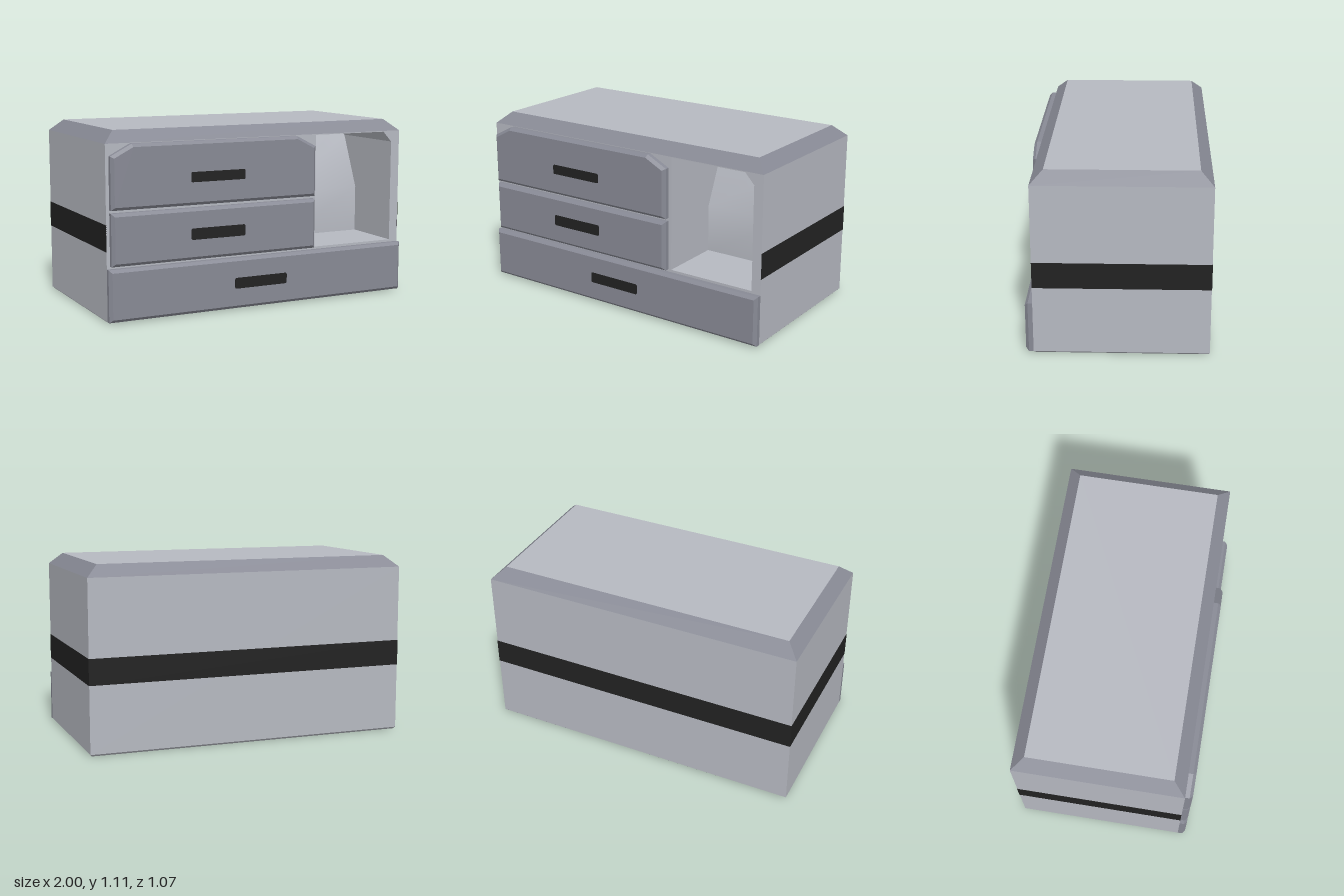
import * as THREE from 'three';

const BACK = -0.533, FRONT = 0.49, DRAWER_FRONT = 0.535, BEVEL = 0.018;

// Flat-shaded geometry from four-cornered faces
function quads(list) {
  const pos = [];
  for (const [a, b, c, d] of list) pos.push(...a, ...b, ...c, ...a, ...c, ...d);
  const g = new THREE.BufferGeometry();
  g.setAttribute('position', new THREE.Float32BufferAttribute(pos, 3));
  g.computeVertexNormals();
  return g;
}

// Rectangle of corners at height y: front left, front right, back right, back left
function ring(y, inset) {
  const x = 1 - inset, f = FRONT - inset, b = BACK + inset;
  return [[-x, y, f], [x, y, f], [x, y, b], [-x, y, b]];
}

// Side faces between two rings
function band(lo, hi, sides = [0, 1, 2, 3]) {
  return sides.map(i => {
    const j = (i + 1) % 4;
    return [lo[i], lo[j], hi[j], hi[i]];
  });
}

const polygon = pts => new THREE.Shape(pts.map(p => new THREE.Vector2(...p)));
const rect = (x0, x1, y0, y1) => [[x0, y0], [x1, y0], [x1, y1], [x0, y1]];

function roundedRect(x0, x1, y0, y1, r) {
  const s = new THREE.Shape();
  s.absarc(x1 - r, y1 - r, r, 0, Math.PI / 2);
  s.absarc(x0 + r, y1 - r, r, Math.PI / 2, Math.PI);
  s.absarc(x0 + r, y0 + r, r, Math.PI, Math.PI * 1.5);
  s.absarc(x1 - r, y0 + r, r, Math.PI * 1.5, Math.PI * 2);
  return s;
}

export function createModel() {
  const root = new THREE.Group();
  root.name = 'drawerCabinet';
  const mat = (name, color) => {
    const m = new THREE.MeshStandardMaterial({ color });
    m.name = name;
    return m;
  };
  const lightGrey = mat('light grey', 0xb6b9c1);
  const slate = mat('slate grey', 0x888a95);
  const black = mat('black', 0x222222);
  const add = (name, geo, material, parent = root) => {
    const m = new THREE.Mesh(geo, material);
    m.name = name;
    parent.add(m);
    return m;
  };

  // Cabinet shell: small chamfer at the foot, walls, bevelled lid
  const foot = ring(0, 0.012), low = ring(0.012, 0), high = ring(1.04, 0), top = ring(1.11, 0.075);
  add('cabinetWalls', quads([
    [foot[3], foot[2], foot[1], foot[0]],
    ...band(foot, low),
    ...band(low, high, [1, 2, 3]),
  ]), lightGrey);
  add('lidBevel', quads(band(high, top)), slate);
  add('lidTop', quads([top]), lightGrey);

  // Open cubby outline, counter-clockwise, with points where the back starts to lean
  const kink = 0.63;
  const cubby = [[0.38, 0.335], [0.94, 0.335], [0.94, kink], [0.94, 0.97], [0.88, 1.035], [0.38, 1.035], [0.38, kink]];
  const deep = ([x, y]) => [x, y, 0.085 - Math.max(0, y - kink) * 0.43];
  const face = polygon(rect(-1, 1, 0.012, 1.04));
  face.holes.push(polygon(cubby));
  add('cabinetFront', new THREE.ShapeGeometry(face), lightGrey).position.z = FRONT;
  add('cubbyWalls', quads(cubby.map((a, i) => {
    const b = cubby[(i + 1) % cubby.length];
    return [[...a, FRONT], [...b, FRONT], deep(b), deep(a)];
  })), lightGrey);
  const back = new THREE.BufferGeometry();
  back.setAttribute('position', new THREE.Float32BufferAttribute(cubby.flatMap(deep), 3));
  back.setIndex([0, 1, 2, 0, 2, 6, 6, 2, 3, 6, 3, 4, 6, 4, 5]);
  back.computeVertexNormals();
  add('cubbyBack', back, lightGrey);

  // Dark stripe around the sides and back
  const t = 0.003, depth = FRONT - BACK;
  for (const s of [-1, 1]) {
    add(s > 0 ? 'leftStripe' : 'rightStripe', new THREE.BoxGeometry(t, 0.157, depth), black)
      .position.set(s, 0.497, (FRONT + BACK) / 2);
  }
  add('backStripe', new THREE.BoxGeometry(2 + t, 0.157, t), black).position.set(0, 0.497, BACK);

  // Drawers: bevelled front panel with a dark handle plate
  const drawers = [
    ['bottomDrawer', rect(-1, 1, 0.01, 0.32), [-0.2, 0.155, 0.134, 0.2]],
    ['middleDrawer', rect(-0.98, 0.36, 0.335, 0.643), [-0.487, -0.132, 0.456, 0.524]],
    ['topDrawer', [[-0.98, 0.66], [0.36, 0.66], [0.36, 0.97], [0.23, 1.037], [-0.85, 1.037], [-0.98, 0.97]],
      [-0.487, -0.132, 0.797, 0.857]],
  ];
  for (const [name, outline, handle] of drawers) {
    const g = new THREE.Group();
    g.name = name;
    root.add(g);
    add(name + 'Panel', new THREE.ExtrudeGeometry(polygon(outline), {
      depth: DRAWER_FRONT - FRONT - BEVEL, bevelEnabled: true, bevelSegments: 1,
      bevelThickness: BEVEL, bevelSize: BEVEL, bevelOffset: -BEVEL,
    }), slate, g).position.z = FRONT;
    add(name + 'Handle', new THREE.ExtrudeGeometry(roundedRect(...handle, 0.01), {
      depth: 0.004, bevelEnabled: false, curveSegments: 3,
    }), black, g).position.z = DRAWER_FRONT - 0.002;
  }
  return root;
}
